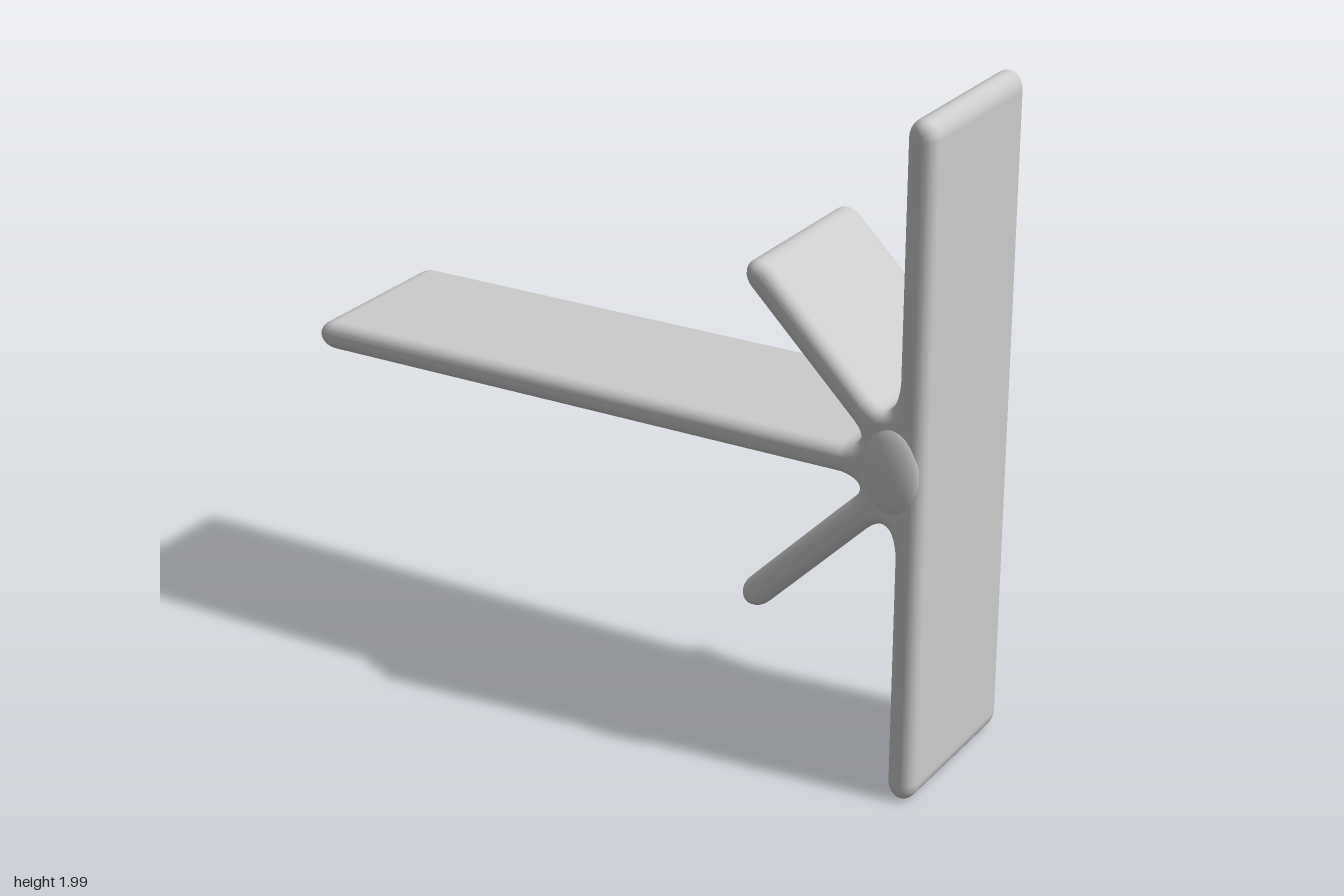
import * as THREE from 'three';
import { mergeVertices } from 'three/addons/utils/BufferGeometryUtils.js';

const HALF = 0.043;   // half thickness of a plate
const TIP = 0.055;    // length of a rounded tip
const MID_Y = 0.993;  // height of the symmetry plane

// Rounded plate end: half ellipse around (x, y), pointing along angle
function tip(x, y, angle, from = 0) {
  const dx = Math.cos(angle), dy = Math.sin(angle), pts = [];
  for (let i = from; i <= 12; i++) {
    const t = (i / 12) * Math.PI;
    const along = TIP * Math.sin(t), side = HALF * Math.cos(t);
    pts.push(new THREE.Vector2(x + dx * along - dy * side, y + dy * along + dx * side));
  }
  return pts;
}

// Soft fillet where two plates meet
function fillet(x0, y0, cx, cy, x1, y1) {
  return new THREE.QuadraticBezierCurve(
    new THREE.Vector2(x0, y0), new THREE.Vector2(cx, cy), new THREE.Vector2(x1, y1)
  ).getPoints(10);
}

export function createModel() {
  const grey = new THREE.MeshStandardMaterial({ color: 0xcccccc });
  grey.name = 'light grey';
  const model = new THREE.Group();
  model.name = 'finnedBracket';

  // Upper half of the outline, then its mirror image
  const upper = [
    ...tip(-1 + TIP, 0, Math.PI, 6),
    ...fillet(0.745, HALF, 0.842, 0.058, 0.765, 0.129),
    ...tip(0.489, 0.466, Math.PI * 0.75),
    ...fillet(0.82, 0.196, 0.9, 0.122, 0.912, 0.25),
    ...tip(0.955, MID_Y - TIP, Math.PI / 2),
  ];
  const lower = upper.slice(1).reverse().map((p) => new THREE.Vector2(p.x, -p.y));

  // All plates as one extrusion with rounded edges
  const bevel = 0.034;
  let geometry = new THREE.ExtrudeGeometry(new THREE.Shape([...upper, ...lower]), {
    depth: 0.55 - 2 * bevel, steps: 1,
    bevelEnabled: true, bevelThickness: bevel, bevelSize: bevel, bevelOffset: -bevel, bevelSegments: 5,
  });
  geometry.translate(0, MID_Y, -0.275 + bevel);
  geometry.deleteAttribute('uv');
  geometry.deleteAttribute('normal');
  geometry = mergeVertices(geometry, 1e-5);
  geometry.computeVertexNormals();
  const plates = new THREE.Mesh(geometry, grey);
  plates.name = 'plates';
  model.add(plates);

  // Slight swelling of the hub at the front and back
  for (const s of [1, -1]) {
    const bulge = new THREE.Mesh(new THREE.SphereGeometry(1, 32, 20), grey);
    bulge.name = s > 0 ? 'frontHubBulge' : 'backHubBulge';
    bulge.scale.set(0.085, 0.13, 0.028);
    bulge.position.set(0.9, MID_Y, s * 0.266);
    model.add(bulge);
  }
  return model;
}
